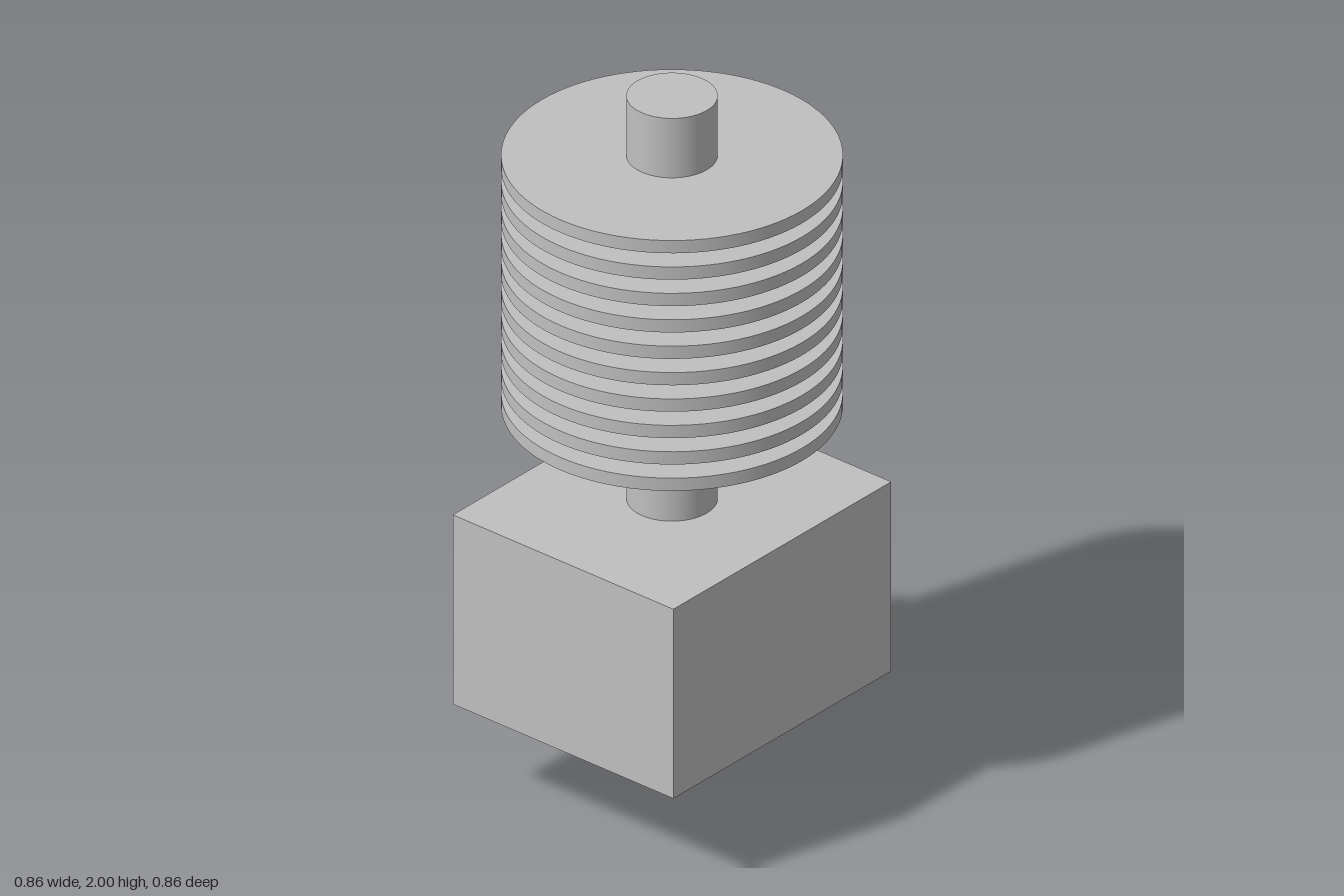
import * as THREE from 'three';

export function createModel() {
  const model = new THREE.Group();
  model.name = 'printerHotEnd';
  const metal = new THREE.MeshStandardMaterial({ color: 0xc0c0c0 });
  metal.name = 'light grey metal';

  function add(name, geometry, y, parent = model) {
    const mesh = new THREE.Mesh(geometry, metal);
    mesh.name = name;
    mesh.position.y = y;
    parent.add(mesh);
    return mesh;
  }

  // Round section between two heights; closed ends unless open is set
  function round(name, bottomRadius, topRadius, bottom, top, parent, open = false) {
    const geometry = new THREE.CylinderGeometry(topRadius, bottomRadius, top - bottom, 96, 1, open);
    return add(name, geometry, (bottom + top) / 2, parent);
  }

  // Heat sink: ten thin fins around a core
  const heatSink = new THREE.Group();
  heatSink.name = 'heatSink';
  model.add(heatSink);
  const finCount = 10, finHeight = 0.037, firstFin = 1.1, finStep = 0.0767;
  for (let i = 0; i < finCount; i++) {
    const y = firstFin + i * finStep;
    round('coolingFin', 0.43, 0.43, y, y + finHeight, heatSink);
  }
  round('heatSinkCore', 0.172, 0.172, 1.12, 1.81, heatSink, true);

  // Filament tube on top and heat break below the sink
  round('filamentTube', 0.115, 0.115, 1.81, 2);
  round('heatBreak', 0.115, 0.115, 0.82, 1.12);

  // Heater block
  add('heaterBlock', new THREE.BoxGeometry(0.843, 0.55, 0.73), 0.555);

  // Nozzle: collar, chamfer and tapered tip
  const nozzle = new THREE.Group();
  nozzle.name = 'nozzle';
  model.add(nozzle);
  round('nozzleCollar', 0.135, 0.135, 0.142, 0.29, nozzle, true);
  round('nozzleChamfer', 0.108, 0.135, 0.127, 0.142, nozzle, true);
  round('nozzleTip', 0.022, 0.108, 0, 0.127, nozzle);

  return model;
}
